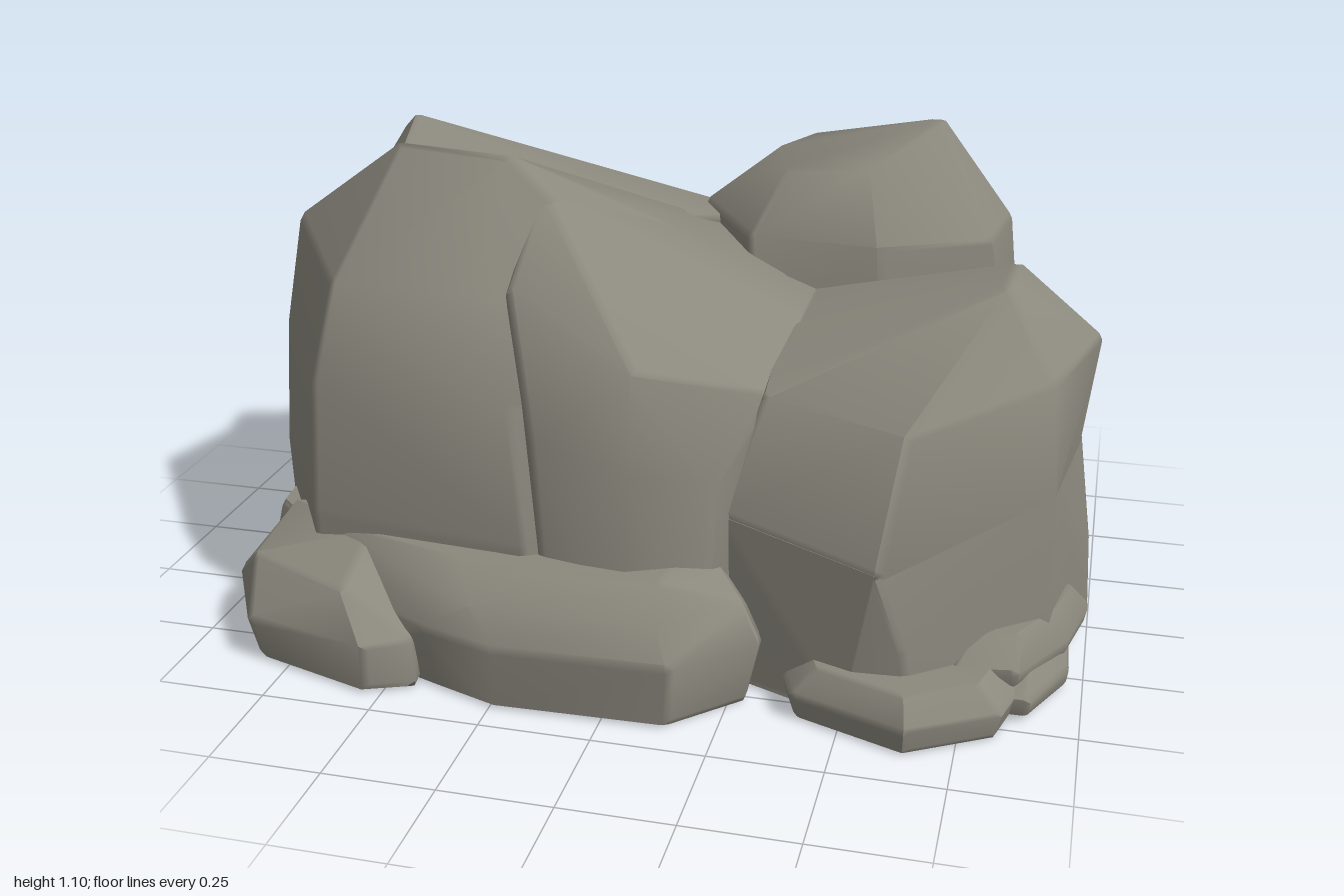
import * as THREE from 'three';
import { ConvexGeometry } from 'three/addons/geometries/ConvexGeometry.js';

// Smooth normals across shallow edges, weighted by face area so that large facets stay flat
function weightedNormals(geometry, crease) {
  const pos = geometry.getAttribute('position');
  const normal = geometry.getAttribute('normal');
  const limit = Math.cos(crease);
  const shared = new Map();
  const faces = [];
  const point = (i) => new THREE.Vector3().fromBufferAttribute(pos, i);
  const key = (i) => point(i).toArray().map((v) => Math.round(v * 1e4)).join();
  for (let i = 0; i < pos.count; i += 3) {
    const a = point(i);
    const area = point(i + 1).sub(a).cross(point(i + 2).sub(a));
    const face = { area, unit: area.clone().normalize() };
    for (let j = i; j < i + 3; j++) {
      faces[j] = face;
      shared.set(key(j), [...(shared.get(key(j)) ?? []), face]);
    }
  }
  for (let i = 0; i < pos.count; i++) {
    const sum = new THREE.Vector3();
    for (const f of shared.get(key(i))) if (f.unit.dot(faces[i].unit) >= limit) sum.add(f.area);
    sum.normalize();
    normal.setXYZ(i, sum.x, sum.y, sum.z);
  }
  return geometry;
}

// A boulder: convex hull of corner points [x, y, z], with softly worn edges of radius r
function boulderGeometry(corners, r) {
  const pts = corners.map((c) => new THREE.Vector3(...c));
  const box = new THREE.Box3().setFromPoints(pts);
  const centre = box.getCenter(new THREE.Vector3());
  const half = box.getSize(new THREE.Vector3()).multiplyScalar(0.5);
  const shrink = new THREE.Vector3(1 - r / half.x, 1 - r / half.y, 1 - r / half.z);
  const knob = new THREE.IcosahedronGeometry(r, 0).getAttribute('position');
  const cloud = [];
  for (const p of pts) {
    p.sub(centre).multiply(shrink).add(centre);
    for (let i = 0; i < knob.count; i++) {
      cloud.push(new THREE.Vector3().fromBufferAttribute(knob, i).add(p));
    }
  }
  return weightedNormals(new ConvexGeometry(cloud), 0.7);
}

// Horizontal ring of corners at height y from [x, z] pairs
const ring = (y, pairs) => pairs.map(([x, z]) => [x, y, z]);

// Low stone: foot, belly and inset top made from one outline
function lowStone(outline, y0, belly, top, inset = 0.72) {
  const cx = outline.reduce((s, p) => s + p[0], 0) / outline.length;
  const cz = outline.reduce((s, p) => s + p[1], 0) / outline.length;
  const scaled = (k) => outline.map(([x, z]) => [cx + (x - cx) * k, cz + (z - cz) * k]);
  return [...ring(y0, scaled(0.95)), ...ring(belly, outline), ...ring(top, scaled(inset))];
}

export function createModel() {
  const group = new THREE.Group();
  group.name = 'rockCluster';
  const stone = new THREE.MeshStandardMaterial({ color: 0x8b887d });
  stone.name = 'stone';

  const add = (name, corners, r = 0.022) => {
    const mesh = new THREE.Mesh(boulderGeometry(corners, r), stone);
    mesh.name = name;
    group.add(mesh);
  };

  // Tall left boulder whose top slopes down to the back
  add('mainBoulder', [
    ...ring(0, [[-0.96, -0.3], [-0.98, 0.05], [-0.73, 0.45], [-0.22, 0.51], [0.2, 0.3], [0.2, -0.5], [-0.25, -0.6], [-0.75, -0.5]]),
    ...ring(0.3, [[-0.99, 0.05], [-0.74, 0.45], [-0.22, 0.52]]),
    ...ring(0.62, [[-0.97, 0.04], [-0.73, 0.43], [-0.26, 0.47], [0.2, 0.22]]),
    [-0.95, 0.87, -0.03], [-0.92, 0.82, -0.3], [-0.7, 0.84, 0.36], [-0.32, 0.84, 0.38],
    [-0.61, 1.11, 0.14], [-0.33, 1.11, 0.2], [-0.1, 0.98, 0.07], [0.26, 0.78, -0.07],
    [-0.8, 0.82, -0.42], [-0.43, 0.81, -0.57], [0.14, 0.75, -0.5],
  ]);

  // Crown at the back, rising gently to a sharp corner on the left
  add('backCrown', [
    [-0.79, 1.03, -0.33], [-0.75, 1.07, -0.3], [-0.73, 0.97, -0.08],
    [-0.43, 0.89, -0.57], [0.12, 0.8, -0.5], [0, 0.87, -0.2],
    [-0.88, 0.72, -0.4], [-0.94, 0.72, -0.15], [-0.43, 0.72, -0.59], [0.12, 0.7, -0.54],
  ], 0.015);

  // Broad block behind it
  add('backBlock', [
    ...ring(0, [[-0.97, -0.36], [-0.76, -0.56], [-0.25, -0.65], [0.15, -0.6], [0.15, 0], [-0.95, 0.03]]),
    ...ring(0.32, [[-1, -0.38], [-0.8, -0.58], [-0.25, -0.69], [0.2, -0.61], [-1, 0.04]]),
    [-0.92, 0.69, -0.44], [-0.76, 0.74, -0.55], [-0.25, 0.82, -0.61], [0.15, 0.8, -0.56],
    [-0.97, 0.66, -0.3], [-0.95, 0.68, -0.05], [0.1, 0.75, 0],
  ]);

  // Wedge in the middle of the front
  add('middleWedge', [
    ...ring(0, [[-0.16, 0.52], [0.02, 0.56], [0.18, 0.5], [0.3, 0], [-0.25, 0.2], [0.25, -0.2]]),
    [-0.2, 0.55, 0.5], [0.02, 0.5, 0.53], [0.2, 0.48, 0.46],
    [-0.29, 0.86, 0.37], [0.02, 0.72, 0.47], [0.3, 0.65, 0.34], [0.33, 0.75, 0.12],
    [-0.27, 1.03, 0.19], [-0.1, 0.97, 0.05], [0.33, 0.76, -0.08], [0.25, 0.72, -0.2],
  ]);

  // Right boulder with a gently tilted top, waisted on its outer side
  const belt = [[0.2, 0.4, 0.43], [0.56, 0.36, 0.56], [0.91, 0.48, 0.3], [0.945, 0.5, -0.12], [0.82, 0.45, -0.32], [0.68, 0.45, -0.39], [0.4, 0.45, -0.4]];
  add('rightBoulder', [
    ...ring(0, [[0.22, 0.4], [0.56, 0.5], [0.84, 0.28], [0.9, -0.12], [0.75, -0.35]]),
    ...belt,
    [0.28, 0.66, 0.36], [0.6, 0.64, 0.47], [0.89, 0.7, 0.23], [0.98, 0.71, -0.07], [0.82, 0.68, -0.2],
    [0.28, 0.74, 0.15], [0.78, 0.88, 0.14], [0.79, 0.865, -0.07], [0.28, 0.75, -0.1],
  ]);
  add('rightBoulderFoot', [
    ...ring(0, [[0.18, 0.42], [0.5, 0.55], [0.64, 0.54], [0.92, 0.32], [1, -0.1], [0.85, -0.32], [0.7, -0.44], [0.4, -0.5], [0.1, -0.2]]),
    ...ring(0.18, [[0.99, -0.1], [0.85, -0.32], [0.62, 0.55]]),
    ...belt,
  ]);

  // Upright boulder at the back
  add('uprightBoulder', [
    ...ring(0, [[0.06, -0.4], [0.14, -0.58], [0.5, -0.61], [0.74, -0.46], [0.7, -0.2], [0.3, -0.1]]),
    ...ring(0.6, [[0.02, -0.42], [0.12, -0.61], [0.5, -0.63], [0.77, -0.47], [0.76, -0.2], [0.48, -0.06], [0.18, -0.07]]),
    ...ring(0.87, [[-0.02, -0.41], [0.12, -0.58], [0.52, -0.59], [0.74, -0.45], [0.71, -0.22], [0.46, -0.09], [0.15, -0.12]]),
    [0.18, 1.03, -0.36], [0.25, 1.04, -0.48], [0.55, 1.09, -0.49], [0.57, 1.11, -0.39], [0.42, 1.03, -0.21], [0.22, 1.01, -0.22],
  ]);

  // Low stones around the foot
  add('frontSlab', [
    ...ring(0, [[-0.7, 0.5], [-0.4, 0.62], [-0.24, 0.68], [0.15, 0.67], [0.29, 0.52], [0.2, 0.3], [-0.7, 0.3]]),
    ...ring(0.15, [[-0.75, 0.45], [-0.42, 0.63], [-0.24, 0.69], [0.16, 0.68], [0.32, 0.52], [0.25, 0.3]]),
    ...ring(0.23, [[-0.3, 0.65], [0.13, 0.64], [0.28, 0.5]]),
    [-0.7, 0.28, 0.42], [-0.35, 0.29, 0.55], [0.12, 0.3, 0.57], [0.22, 0.29, 0.45], [0.15, 0.31, 0.3], [-0.7, 0.28, 0.3],
  ]);
  add('frontLeftStone', [
    ...ring(0, [[-0.93, 0.4], [-0.82, 0.6], [-0.53, 0.69], [-0.43, 0.65], [-0.5, 0.3], [-0.9, 0.2]]),
    ...ring(0.1, [[-0.97, 0.38], [-0.84, 0.61], [-0.53, 0.69], [-0.44, 0.63], [-0.96, 0.2]]),
    ...ring(0.21, [[-0.87, 0.5], [-0.6, 0.62], [-0.52, 0.5]]),
    [-0.85, 0.27, 0.3], [-0.6, 0.28, 0.45],
  ]);
  add('backStone', [
    ...ring(0, [[0.12, -0.64], [0.47, -0.67], [0.74, -0.56], [0.84, -0.36], [0.4, -0.35], [0.1, -0.45]]),
    ...ring(0.11, [[0.09, -0.65], [0.15, -0.68], [0.47, -0.7], [0.75, -0.58], [0.86, -0.37]]),
    ...ring(0.24, [[0.14, -0.64], [0.46, -0.67], [0.7, -0.56], [0.78, -0.42], [0.2, -0.5]]),
  ]);
  add('frontRightStone', lowStone([[0.35, 0.45], [0.39, 0.56], [0.65, 0.66], [0.84, 0.54], [0.87, 0.42], [0.6, 0.35]], 0, 0.06, 0.13, 0.78), 0.018);
  add('rightPebble', lowStone([[0.78, 0.47], [0.88, 0.47], [0.97, 0.3], [0.96, 0.12], [0.8, 0.12]], 0.01, 0.05, 0.1), 0.018);
  add('rightStone', lowStone([[0.72, 0.48], [0.85, 0.46], [0.96, 0.27], [1, 0.1], [0.9, 0.05], [0.7, 0.2]], 0.07, 0.11, 0.19), 0.018);
  add('leftPebble', lowStone([[-0.99, 0.02], [-0.97, 0.2], [-0.85, 0.3], [-0.8, 0]], 0, 0.09, 0.2), 0.018);

  // Knob on the back block
  add('backKnob', [
    [-0.79, 0.12, -0.55], [-0.6, 0.06, -0.62], [-0.43, 0.14, -0.64], [-0.45, 0.29, -0.64],
    [-0.6, 0.38, -0.6], [-0.78, 0.29, -0.55], [-0.6, 0.22, -0.7], [-0.6, 0.2, -0.45],
  ], 0.015);

  return group;
}
